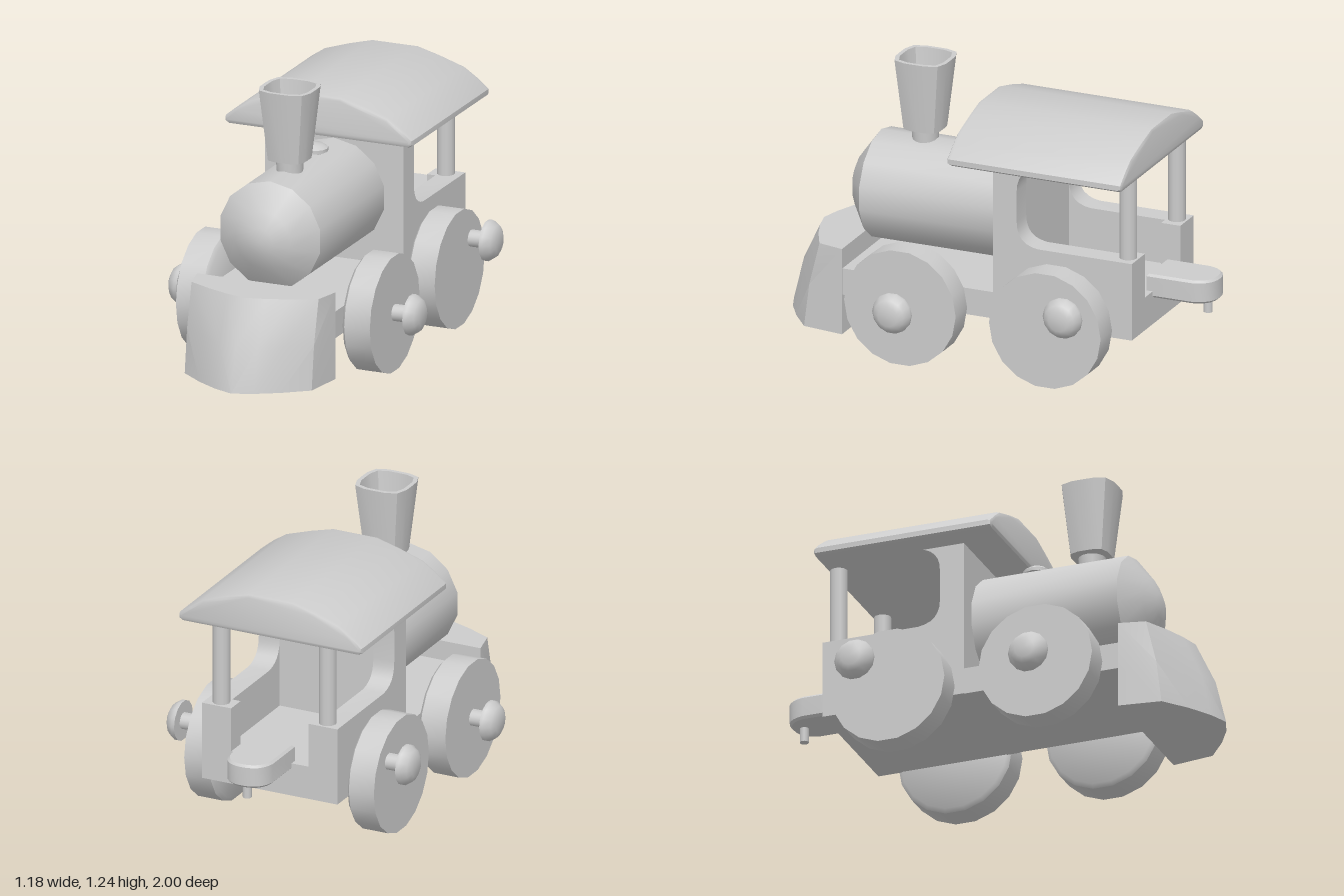
import * as THREE from 'three';
import { toCreasedNormals } from 'three/addons/utils/BufferGeometryUtils.js';
import { ConvexGeometry } from 'three/addons/geometries/ConvexGeometry.js';

const material = new THREE.MeshStandardMaterial({ color: 0xcccccc });
const V2 = (pairs) => pairs.map(([x, y]) => new THREE.Vector2(x, y));

export function createModel() {
  const model = new THREE.Group();

  const add = (name, geometry, x = 0, y = 0, z = 0) => {
    const mesh = new THREE.Mesh(geometry, material);
    mesh.name = name;
    mesh.position.set(x, y, z);
    model.add(mesh);
    return mesh;
  };
  // Box given by its limits on each axis
  const box = (name, x0, x1, y0, y1, z0, z1) =>
    add(name, new THREE.BoxGeometry(x1 - x0, y1 - y0, z1 - z0), (x0 + x1) / 2, (y0 + y1) / 2, (z0 + z1) / 2);
  // Turned shape from [radius, height] pairs
  const lathe = (pairs, sides, crease = 0.8) =>
    toCreasedNormals(new THREE.LatheGeometry(V2(pairs), sides), crease);

  // Chassis running under the boiler
  box('chassis', -0.32, 0.32, 0.23, 0.35, -0.1, 0.65);

  // Boiler with a blunt pointed nose
  const boiler = lathe([[0, -0.1], [0.24, -0.1], [0.24, 0.59], [0.13, 0.67], [0.06, 0.7], [0, 0.71]], 14, 0.75);
  boiler.rotateX(Math.PI / 2);
  add('boiler', boiler, 0, 0.645, 0);

  // Plough: a curved outline that shrinks back as it rises
  const outline = [[0.325, 0.63], [0.298, 0.82], [0.19, 0.905], [0.09, 0.965], [0, 1]];
  const ploughPoints = [];
  for (const [y, k] of [[0.05, 1], [0.245, 0.87], [0.44, 0.62]]) {
    for (const [x, z] of outline) {
      for (const s of [-1, 1]) ploughPoints.push(new THREE.Vector3(s * x, y, 0.63 + (z - 0.63) * k));
    }
  }
  add('plough', toCreasedNormals(new ConvexGeometry(ploughPoints), 0.7));

  // Chimney: rounded square section, hollow at the top
  const chimneyProfile = [[0.055, 0.84], [0.06, 0.925], [0.085, 0.93], [0.12, 1.25], [0.102, 1.25], [0.072, 0.96], [0, 0.96]];
  const chimney = new THREE.LatheGeometry(V2(chimneyProfile), 16);
  const p = chimney.attributes.position;
  for (let i = 0; i < p.count; i++) {
    const x = p.getX(i), z = p.getZ(i);
    const r = Math.hypot(x, z);
    if (r < 1e-6 || p.getY(i) < 0.928) continue;
    const k = r / Math.pow(x ** 4 + z ** 4, 0.25);
    p.setX(i, x * k);
    p.setZ(i, z * k);
  }
  add('chimney', toCreasedNormals(chimney, 0.7), 0, 0, 0.383);

  // Small steam dome on the boiler
  add('steamDome', lathe([[0.035, 0.85], [0.035, 0.885], [0.062, 0.89], [0.062, 0.905], [0.04, 0.92], [0, 0.925]], 12), 0, 0, 0.13);

  // Cab sides with a rounded window opening, drawn in the z-y plane
  const side = new THREE.Shape();
  side.moveTo(0.08, 0.23);
  side.lineTo(0.73, 0.23);
  side.lineTo(0.73, 0.58);
  side.lineTo(0.29, 0.58);
  side.quadraticCurveTo(0.19, 0.59, 0.19, 0.69);
  side.lineTo(0.19, 0.83);
  side.quadraticCurveTo(0.19, 0.93, 0.29, 0.945);
  side.lineTo(0.08, 0.945);
  side.closePath();
  const sideGeometry = new THREE.ExtrudeGeometry(side, { depth: 0.1, bevelEnabled: false, curveSegments: 6 });
  sideGeometry.rotateY(Math.PI / 2);
  const creasedSide = toCreasedNormals(sideGeometry, 0.6);
  add('cabSideLeft', creasedSide, 0.225, 0, 0);
  add('cabSideRight', creasedSide, -0.325, 0, 0);
  box('cabFrontWall', -0.225, 0.225, 0.23, 0.945, -0.19, -0.08);
  box('cabFloor', -0.225, 0.225, 0.23, 0.38, -0.73, -0.19);

  // Rear corner blocks and roof posts
  for (const s of [-1, 1]) {
    const [a, b] = [s * 0.185, s * 0.235].sort((m, n) => m - n);
    box('cabCornerBlock', a, b, 0.37, 0.58, -0.73, -0.64);
    add('roofPost', new THREE.CylinderGeometry(0.038, 0.038, 0.4, 12), s * 0.255, 0.76, -0.683);
  }

  // Arched roof
  const roofHalf = [[0.42, 0.94], [0.44, 0.952], [0.44, 0.975], [0.385, 1.02], [0.325, 1.06], [0.21, 1.097], [0.105, 1.125]];
  const roofOutline = [...roofHalf, ...roofHalf.map(([x, y]) => [-x, y]).reverse()];
  const roof = new THREE.ExtrudeGeometry(new THREE.Shape(V2(roofOutline)), {
    depth: 0.78, bevelThickness: 0.02, bevelSize: 0.015, bevelOffset: -0.015, bevelSegments: 2,
  });
  add('roof', toCreasedNormals(roof, 0.7), 0, 0, -0.71);

  // Rear coupling: round-ended tongue with a pin below
  const tongue = new THREE.Shape();
  tongue.moveTo(-0.105, 0.7);
  tongue.lineTo(0.105, 0.7);
  tongue.lineTo(0.105, 0.91);
  tongue.quadraticCurveTo(0.09, 1, 0, 1);
  tongue.quadraticCurveTo(-0.09, 1, -0.105, 0.91);
  tongue.closePath();
  const tongueGeometry = new THREE.ExtrudeGeometry(tongue, {
    depth: 0.085, bevelThickness: 0.01, bevelSize: 0.01, bevelOffset: -0.01, bevelSegments: 1, curveSegments: 6,
  });
  tongueGeometry.rotateX(-Math.PI / 2);
  add('couplingTongue', toCreasedNormals(tongueGeometry, 0.6), 0, 0.36, 0);
  add('couplingPin', new THREE.CylinderGeometry(0.02, 0.02, 0.09, 10), 0, 0.33, -0.943);

  // Wheels and mushroom-headed pins, mirrored to both sides
  const wheel = lathe([[0, 0.32], [0.245, 0.32], [0.262, 0.335], [0.262, 0.455], [0, 0.455]], 18);
  const pin = lathe([[0.037, 0.44], [0.037, 0.53], [0.09, 0.53], [0.09, 0.545], [0.07, 0.575], [0.045, 0.588], [0, 0.588]], 14);
  for (const s of [-1, 1]) {
    for (const [name, wheelZ, pinY, pinZ] of [['front', 0.3, 0.27, 0.3], ['rear', -0.38, 0.37, -0.5]]) {
      add(name + 'Wheel', wheel, 0, 0.265, wheelZ).rotation.z = -s * Math.PI / 2;
      add(name + 'WheelPin', pin, 0, pinY, pinZ).rotation.z = -s * Math.PI / 2;
    }
  }

  return model;
}
